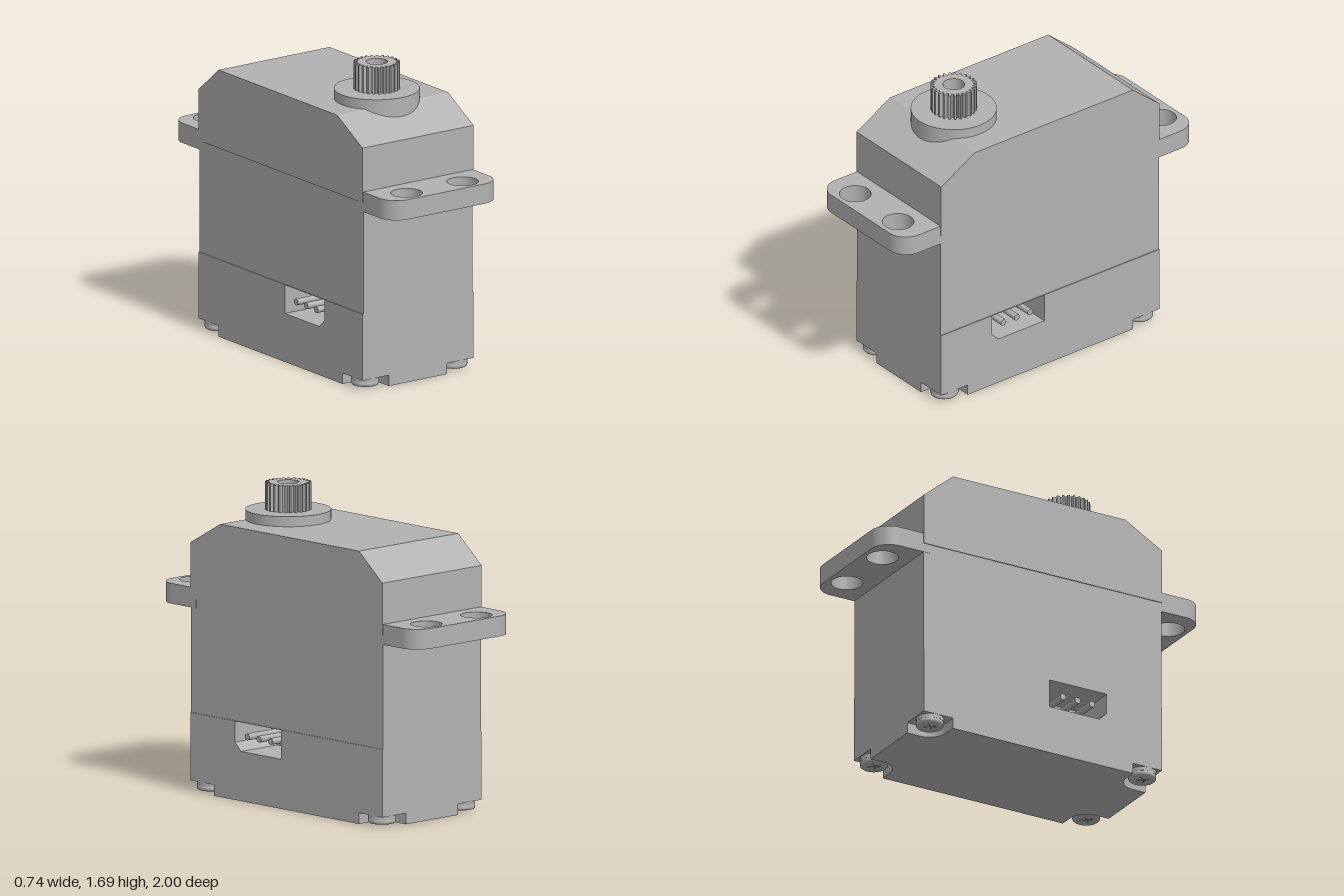
import * as THREE from 'three';
import { toCreasedNormals } from 'three/addons/utils/BufferGeometryUtils.js';

const V = (x, y) => new THREE.Vector2(x, y);

function extrude(shape, depth, extra = {}) {
  return new THREE.ExtrudeGeometry(shape, { depth, bevelEnabled: false, curveSegments: 24, ...extra });
}
// Outline in (x, -z), raised along y from y0 to y1
function extrudeY(shape, y0, y1) {
  return toCreasedNormals(extrude(shape, y1 - y0).rotateX(-Math.PI / 2).translate(0, y0, 0), 0.5);
}
// Outline in (z, y), extended along x from x0 to x1
function extrudeX(shape, x0, x1) {
  return toCreasedNormals(extrude(shape, x1 - x0).rotateY(-Math.PI / 2).translate(x1, 0, 0), 0.5);
}
function circleHole(x, y, r) {
  return new THREE.Path().absarc(x, y, r, 0, Math.PI * 2, true);
}

export function createModel() {
  const model = new THREE.Group();
  model.name = 'servoMotor';
  const grey = new THREE.MeshStandardMaterial({ color: 0xb2b2b2 });
  grey.name = 'grey';
  const add = (name, geometry, parent = model) => {
    const mesh = new THREE.Mesh(geometry, grey);
    mesh.name = name;
    parent.add(mesh);
    return mesh;
  };

  const W = 0.368, D = 0.74;           // half width and half depth of the case
  const screwX = 0.293, screwZ = 0.66;

  // Base plate with a rounded notch in each corner
  const notch = [V(W, screwZ - 0.1)];
  for (let i = 0; i <= 12; i++) {
    const a = -Math.PI / 2 - (i / 12) * Math.PI / 2;
    notch.push(V(screwX + 0.1 * Math.cos(a), screwZ + 0.1 * Math.sin(a)));
  }
  notch.push(V(screwX - 0.1, D));
  const outline = [];
  for (const [sx, sz] of [[1, 1], [-1, 1], [-1, -1], [1, -1]]) {
    const pts = notch.map(p => V(p.x * sx, p.y * sz));
    outline.push(...(sx * sz > 0 ? pts : pts.reverse()));
  }
  add('basePlate', extrudeY(new THREE.Shape(outline), 0, 0.06));

  // Lower case: solid core and side walls pierced by the sockets
  const coreX = 0.1;
  add('lowerCore', new THREE.BoxGeometry(coreX * 2, 0.37, D * 2).translate(0, 0.245, 0));
  const wall = new THREE.Shape([V(-D, 0.06), V(D, 0.06), V(D, 0.43), V(-D, 0.43)]);
  wall.holes.push(new THREE.Path([
    V(0.04, 0.27), V(0.04, 0.44 - 0.012), V(0.395, 0.44 - 0.012), V(0.395, 0.315), V(0.35, 0.27),
  ]));
  for (const side of [1, -1]) {
    add('socketWall', side > 0 ? extrudeX(wall, coreX, W) : extrudeX(wall, -W, -coreX));
    for (const z of [0.13, 0.22, 0.31]) {
      const pin = add('connectorPin', new THREE.CylinderGeometry(0.018, 0.018, 0.26, 16));
      pin.rotation.z = Math.PI / 2;
      pin.position.set(side * (coreX + 0.13), 0.353, z);
    }
  }

  // Slightly narrower middle case
  add('middleCase', new THREE.BoxGeometry(0.726, 0.62, D * 2).translate(0, 0.74, 0));

  // Upper case with a slope at each end
  add('upperCase', extrudeX(new THREE.Shape([
    V(-D, 1.05), V(D, 1.05), V(D, 1.355), V(0.51, 1.485), V(-0.56, 1.485), V(-D, 1.335),
  ]), -W, W));

  // Mounting tabs with two holes each
  const T = 0.364, R = 0.11;
  const tab = new THREE.Shape();
  tab.moveTo(-T, 0.7).lineTo(T, 0.7).lineTo(T, 1 - R);
  tab.absarc(T - R, 1 - R, R, 0, Math.PI / 2, false);
  tab.lineTo(-T + R, 1);
  tab.absarc(-T + R, 1 - R, R, Math.PI / 2, Math.PI, false);
  tab.closePath();
  tab.holes.push(circleHole(0.186, 0.89, 0.085), circleHole(-0.186, 0.89, 0.085));
  for (const turn of [0, Math.PI]) {
    add('mountingTab', extrudeY(tab, 1.0, 1.11)).rotation.y = turn;
  }

  // Round boss and toothed output shaft with a bore
  const shaftZ = 0.368;
  add('shaftBoss', new THREE.CylinderGeometry(0.23, 0.23, 0.2, 64).translate(0, 1.44, shaftZ));
  const teeth = 25, toothPts = [];
  for (let i = 0; i < teeth; i++) {
    for (const [f, r] of [[0, 0.103], [0.3, 0.103], [0.5, 0.125], [0.8, 0.125]]) {
      const a = ((i + f) / teeth) * Math.PI * 2;
      toothPts.push(V(r * Math.cos(a), r * Math.sin(a)));
    }
  }
  const spline = new THREE.Shape(toothPts);
  spline.holes.push(circleHole(0, 0, 0.058));
  add('outputShaft', extrudeY(spline, 1.54, 1.687)).position.z = shaftZ;

  // Corner screws with a cross recess facing down
  const arm = 0.042, w = 0.011;
  const cross = [];
  for (let i = 0; i < 4; i++) {
    const c = V(0, 0), a = i * Math.PI / 2 + Math.PI / 4;
    for (const p of [V(w, -w), V(arm, -w), V(arm, w)]) cross.push(p.rotateAround(c, a));
  }
  const face = new THREE.Shape().absarc(0, 0, 0.063, 0, Math.PI * 2, false);
  face.holes.push(new THREE.Path(cross.reverse()));
  const faceGeo = toCreasedNormals(extrude(face, 0.01, {
    bevelEnabled: true, bevelSize: 0.012, bevelThickness: 0.012, bevelSegments: 3,
  }).rotateX(Math.PI / 2).translate(0, 0.034, 0), 0.7);
  const capGeo = new THREE.CylinderGeometry(0.075, 0.075, 0.024, 32).translate(0, 0.05, 0);
  for (const sx of [1, -1]) for (const sz of [1, -1]) {
    const screw = new THREE.Group();
    screw.name = 'cornerScrew';
    screw.position.set(sx * screwX, 0, sz * screwZ);
    add('screwFace', faceGeo, screw);
    add('screwHead', capGeo, screw);
    model.add(screw);
  }
  return model;
}
